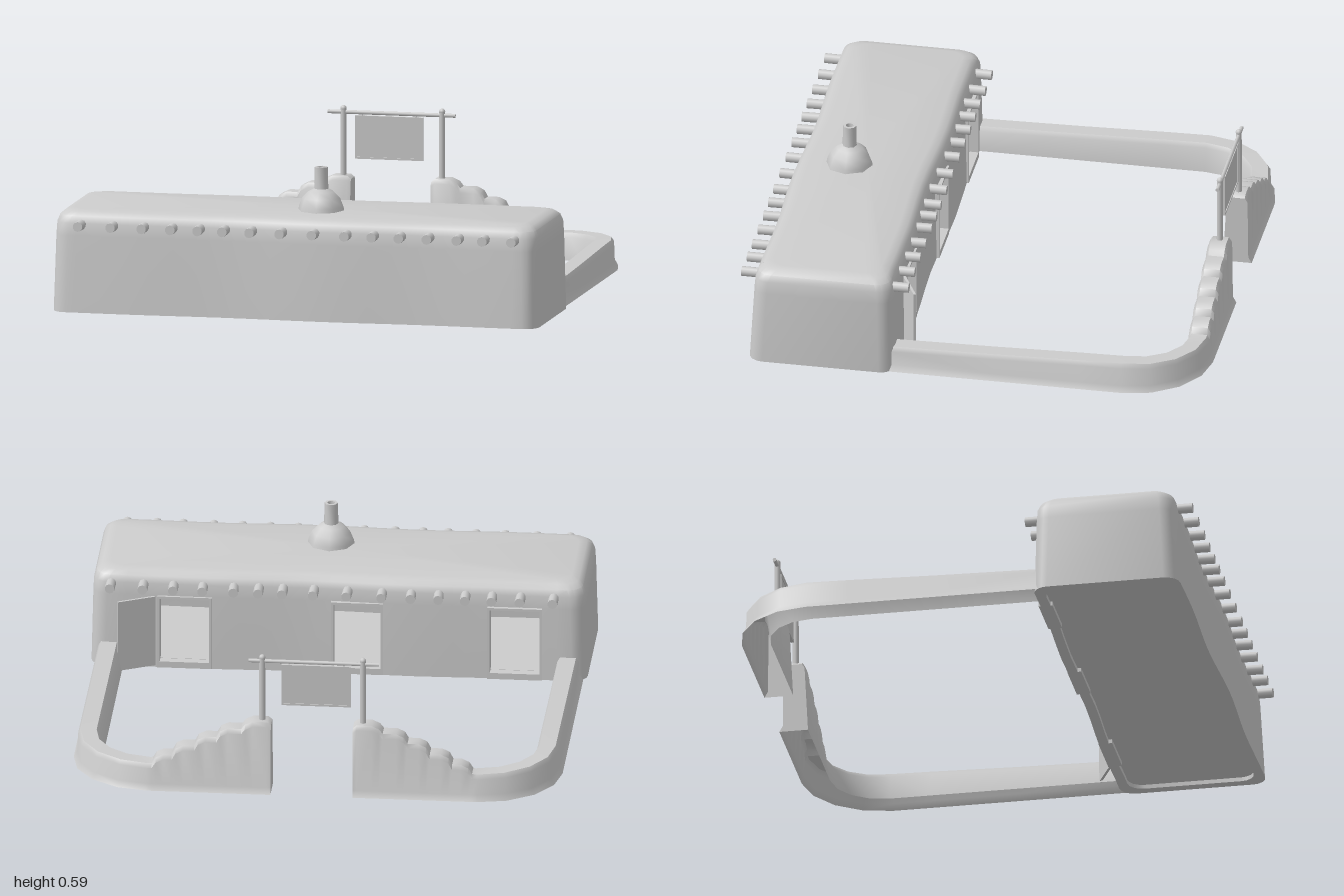
import * as THREE from 'three';
import { toCreasedNormals } from 'three/addons/utils/BufferGeometryUtils.js';

const solid = new THREE.MeshStandardMaterial({ color: 0xcccccc });
const open = new THREE.MeshStandardMaterial({ color: 0xcccccc, side: THREE.DoubleSide });
const DOORS = [[0.51, 0.73], [-0.18, 0.03], [-0.82, -0.6]];
const DOOR_H = 0.31;

function add(parent, name, geo, x = 0, y = 0, z = 0, mat = solid) {
  const m = new THREE.Mesh(geo, mat);
  m.name = name;
  m.position.set(x, y, z);
  parent.add(m);
  return m;
}

function surface(pos, idx, flip, crease) {
  if (flip) idx.reverse();
  const g = new THREE.BufferGeometry();
  g.setAttribute('position', new THREE.Float32BufferAttribute(pos, 3));
  g.setIndex(idx);
  return toCreasedNormals(g, crease);
}

// Rounded-rectangle ring with gently uneven walls and a leaning front
function houseRing(y, inset) {
  const r = 0.06, hx = 1 - inset, z0 = 0.305 + inset;
  const z1 = 0.9 - inset - 0.012 * Math.min(y / 0.35, 1);
  const pts = [];
  const corner = (cx, cz, a0) => {
    for (let k = 0; k <= 4; k++) {
      const a = a0 + k * Math.PI / 8;
      pts.push([cx + r * Math.cos(a), cz - r * Math.sin(a), false]);
    }
  };
  const wave = (x) => 0.007 * Math.sin(x * 7 + 0.6) * (1 - x * x);
  for (let x = -0.9; x < 0.91; x += 0.1) pts.push([x, z1 + wave(x), false]);
  corner(hx - r, z1 - r, -Math.PI / 2);
  corner(hx - r, z0 + r, 0);
  const backX = [0.85, ...DOORS.flat(), 0.4, 0.27, 0.15, -0.32, -0.46, -0.88];
  backX.sort((a, b) => b - a).forEach((x) => pts.push([x, z0 + wave(x), true]));
  corner(-hx + r, z0 + r, Math.PI / 2);
  corner(-hx + r, z1 - r, Math.PI);
  return pts.map(([x, z, back]) => ({ x, y, z, back }));
}

// Shell from stacked rings; back-wall cells that fall in a doorway are left out
function houseShell(levels, topY, flip) {
  const rings = levels.map(([y, i]) => houseRing(y, i));
  const n = rings[0].length, pos = [], idx = [];
  rings.flat().forEach((p) => pos.push(p.x, p.y, p.z));
  for (let j = 0; j < rings.length - 1; j++) {
    for (let i = 0; i < n; i++) {
      const k = (i + 1) % n, p = rings[j][i], q = rings[j][k];
      const mid = (p.x + q.x) / 2;
      const doorway = p.back && q.back && rings[j + 1][i].y <= DOOR_H
        && DOORS.some(([a, b]) => mid > a && mid < b);
      if (doorway) continue;
      const a = j * n + i, b = j * n + k;
      idx.push(a, b, b + n, a, b + n, a + n);
    }
  }
  const c = pos.length / 3, top = (rings.length - 1) * n;
  pos.push(0, topY, 0.6);
  for (let i = 0; i < n; i++) idx.push(top + i, top + (i + 1) % n, c);
  return surface(pos, idx, flip, 0.6);
}

// Yard wall, open underneath: section swept along the side, round the corner, up the gate steps
function yardWall(side) {
  const path = [[0.925, 0.34, 0.1], [0.925, -0.1, 0.108], [0.925, -0.45, 0.117]];
  for (let k = 0; k <= 4; k++) {
    const a = k * Math.PI / 8;
    path.push([0.66 + 0.265 * Math.cos(a), -0.62 - 0.26 * Math.sin(a), 0.12 - 0.003 * k]);
  }
  let h = 0.11;
  for (const [x, next] of [[0.645, 0.148], [0.565, 0.19], [0.475, 0.232], [0.385, 0.272], [0.285, 0.305]]) {
    path.push([x, -0.88, h], [x - 0.015, -0.88, next - 0.014], [x - 0.045, -0.88, next]);
    h = next;
  }
  path.push([0.18, -0.88, h], [0.165, -0.88, h - 0.012]);

  const pos = [], idx = [], n = 7;
  path.forEach(([x, z, t], k) => {
    const p = path[Math.max(k - 1, 0)], q = path[Math.min(k + 1, path.length - 1)];
    const d = new THREE.Vector2(q[0] - p[0], q[1] - p[1]).normalize();
    const section = [[-0.057, 0], [-0.043, t - 0.018], [-0.032, t], [0.032, t],
      [0.043, t - 0.018], [0.046, 0.025], [0.06, 0]];
    for (const [o, y] of section) pos.push(side * (x - d.y * o), y, z + d.x * o);
    if (k === 0) return;
    for (let i = 0; i < n - 1; i++) {
      const a = (k - 1) * n + i, b = a + 1;
      idx.push(a, b, b + n, a, b + n, a + n);
    }
  });
  const e = (path.length - 1) * n;
  for (let i = 1; i < n - 1; i++) idx.push(e, e + i, e + i + 1);
  return surface(pos, idx, side < 0, 0.75);
}

export function createModel() {
  const model = new THREE.Group();
  model.name = 'adobeHouseWithYard';

  // House: outer shell starts with the underside of the wall thickness
  const house = new THREE.Group();
  house.name = 'house';
  model.add(house);
  add(house, 'outerWallsAndRoof', houseShell([[0, 0.04], [0, 0], [DOOR_H, 0.007], [0.36, 0.01],
    [0.388, 0.02], [0.405, 0.04], [0.412, 0.07]], 0.418, false), 0, 0, 0, open);
  add(house, 'innerWallsAndCeiling',
    houseShell([[0, 0.04], [DOOR_H, 0.04], [0.39, 0.045]], 0.39, true), 0, 0, 0, open);
  add(house, 'floor', new THREE.BoxGeometry(1.94, 0.01, 0.535), 0, 0.022, 0.602);

  // Door frames
  for (const [a, b] of DOORS) {
    const frame = new THREE.Group();
    frame.name = 'doorFrame';
    house.add(frame);
    const t = 0.01, d = 0.056;
    for (const x of [a + t / 2, b - t / 2])
      add(frame, 'jamb', new THREE.BoxGeometry(t, DOOR_H, d), x, DOOR_H / 2, 0.327);
    add(frame, 'lintel', new THREE.BoxGeometry(b - a, t, d), (a + b) / 2, DOOR_H - t / 2, 0.327);
    add(frame, 'sill', new THREE.BoxGeometry(b - a, 0.026, d), (a + b) / 2, 0.013, 0.327);
  }

  // Door standing open
  const hinge = new THREE.Group();
  hinge.name = 'openDoor';
  hinge.position.set(0.74, 0, 0.308);
  hinge.rotation.y = 0.46;
  house.add(hinge);
  add(hinge, 'doorPanel', new THREE.BoxGeometry(0.16, 0.3, 0.01), 0.08, 0.157, 0);

  // Roof logs running right through the house, each slightly askew
  const frontX = [-0.88, -0.746, -0.618, -0.5, -0.388, -0.286, -0.174, -0.05,
    0.083, 0.217, 0.329, 0.441, 0.557, 0.68, 0.785, 0.905];
  const backX = [-0.866, -0.733, -0.62, -0.513, -0.406, -0.294, -0.176, -0.035,
    0.1, 0.224, 0.32, 0.42, 0.545, 0.663, 0.786, 0.918];
  const logGeo = new THREE.CylinderGeometry(0.02, 0.02, 0.685, 10).rotateX(Math.PI / 2);
  frontX.forEach((x, i) => {
    const log = add(house, 'roofLog', logGeo, (x + backX[i]) / 2, 0.355, 0.597);
    log.rotation.y = Math.atan2(x - backX[i], 0.685);
  });

  // Chimney: eight-sided dome with a hollow pipe
  const chimney = [[0.096, 0.405], [0.092, 0.43], [0.078, 0.465], [0.053, 0.49], [0.029, 0.502],
    [0.027, 0.59], [0.016, 0.59], [0.016, 0.5], [0, 0.5]].map(([x, y]) => new THREE.Vector2(x, y));
  add(house, 'chimney', toCreasedNormals(new THREE.LatheGeometry(chimney, 8), 0.95), 0.06, 0, 0.66);

  // Yard walls and gate posts
  const gate = new THREE.Group();
  gate.name = 'gate';
  model.add(gate);
  for (const s of [1, -1]) {
    add(model, s > 0 ? 'leftYardWall' : 'rightYardWall', yardWall(s), 0, 0, 0, open);
    add(gate, 'gatePost', new THREE.CylinderGeometry(0.012, 0.013, 0.3, 8), s * 0.203, 0.425, -0.88);
    add(gate, 'postCap', new THREE.SphereGeometry(0.013, 8, 6), s * 0.203, 0.575, -0.88);
  }
  add(gate, 'crossbar', new THREE.CylinderGeometry(0.008, 0.008, 0.525, 8).rotateZ(Math.PI / 2), -0.005, 0.56, -0.88);

  // Hanging board with a raised border
  const board = new THREE.Group();
  board.name = 'hangingBoard';
  board.position.set(-0.015, 0.46, -0.88);
  gate.add(board);
  add(board, 'panel', new THREE.BoxGeometry(0.28, 0.175, 0.008));
  for (const s of [1, -1]) {
    add(board, 'borderRail', new THREE.BoxGeometry(0.28, 0.008, 0.014), 0, s * 0.084, 0);
    add(board, 'borderStile', new THREE.BoxGeometry(0.008, 0.175, 0.014), s * 0.136, 0, 0);
    add(board, 'hanger', new THREE.CylinderGeometry(0.003, 0.003, 0.02, 6), s * 0.11, 0.093, 0);
  }
  return model;
}
